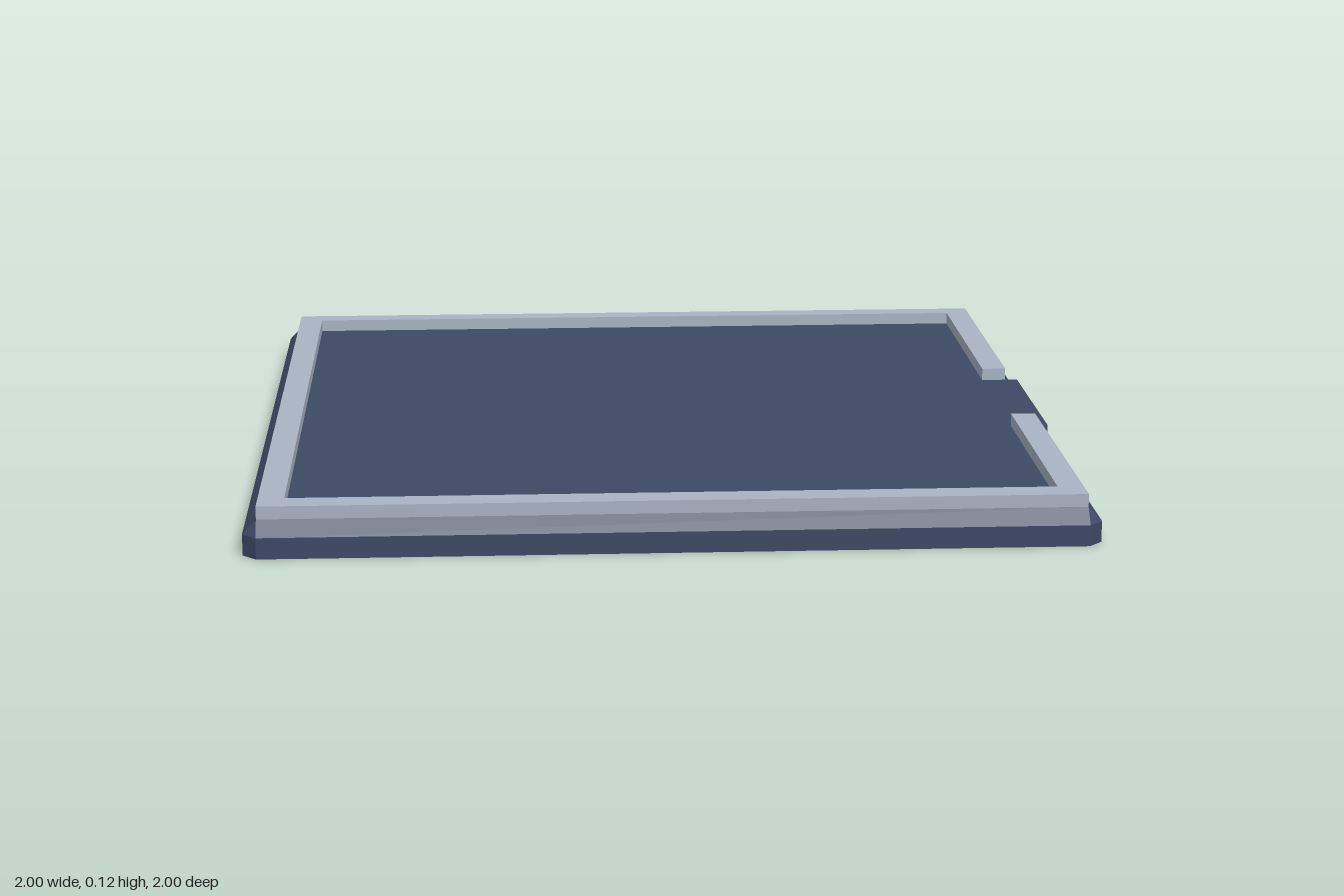
import * as THREE from 'three';
import { ConvexGeometry } from 'three/addons/geometries/ConvexGeometry.js';

const OUT = 1, TOP = 0.967;            // half widths of the slab and its top face
const CHAMFER_Y = 0.051, FLOOR_Y = 0.086, RAIL_Y = 0.117;
const GAP_BACK = -0.24, GAP_FRONT = 0.233;

export function createModel() {
  const slate = new THREE.MeshStandardMaterial({ color: 0x3d4863 });
  slate.name = 'slateBlue';
  const grey = new THREE.MeshStandardMaterial({ color: 0xa9b3c3 });
  grey.name = 'paleGrey';

  const group = new THREE.Group();
  group.name = 'floorTile';
  const add = (name, geometry, material) => {
    const mesh = new THREE.Mesh(geometry, material);
    mesh.name = name;
    group.add(mesh);
    return mesh;
  };

  // Slab: clipped corners below, bevelled up to a square top
  const points = [];
  for (const sx of [-1, 1]) {
    for (const sz of [-1, 1]) {
      for (const y of [0, CHAMFER_Y]) {
        points.push(new THREE.Vector3(sx * OUT, y, sz * TOP));
        points.push(new THREE.Vector3(sx * TOP, y, sz * OUT));
      }
      points.push(new THREE.Vector3(sx * TOP, FLOOR_Y, sz * TOP));
    }
  }
  add('slab', new ConvexGeometry(points), slate);

  // Threshold: wedge that fills the bevel across the doorway
  const wedge = new THREE.Shape([
    new THREE.Vector2(TOP, FLOOR_Y),
    new THREE.Vector2(OUT, CHAMFER_Y),
    new THREE.Vector2(OUT, FLOOR_Y),
  ]);
  const threshold = new THREE.ExtrudeGeometry(wedge, { depth: GAP_FRONT - GAP_BACK, bevelEnabled: false });
  threshold.translate(0, 0, GAP_BACK);
  add('threshold', threshold, slate);

  // Rail: one C-shaped outline around the edge, open at the doorway
  const inX = 0.905, inBack = -0.911, inFront = 0.9;
  const outline = [
    [TOP, GAP_BACK], [TOP, -TOP], [-TOP, -TOP], [-TOP, TOP], [TOP, TOP], [TOP, GAP_FRONT],
    [inX, GAP_FRONT], [inX, inFront], [-inX, inFront], [-inX, inBack], [inX, inBack], [inX, GAP_BACK],
  ].map(([x, z]) => new THREE.Vector2(x, -z));
  const rail = new THREE.ExtrudeGeometry(new THREE.Shape(outline), { depth: RAIL_Y - FLOOR_Y, bevelEnabled: false });
  rail.rotateX(-Math.PI / 2);
  rail.translate(0, FLOOR_Y, 0);
  add('rail', rail, grey);

  return group;
}
